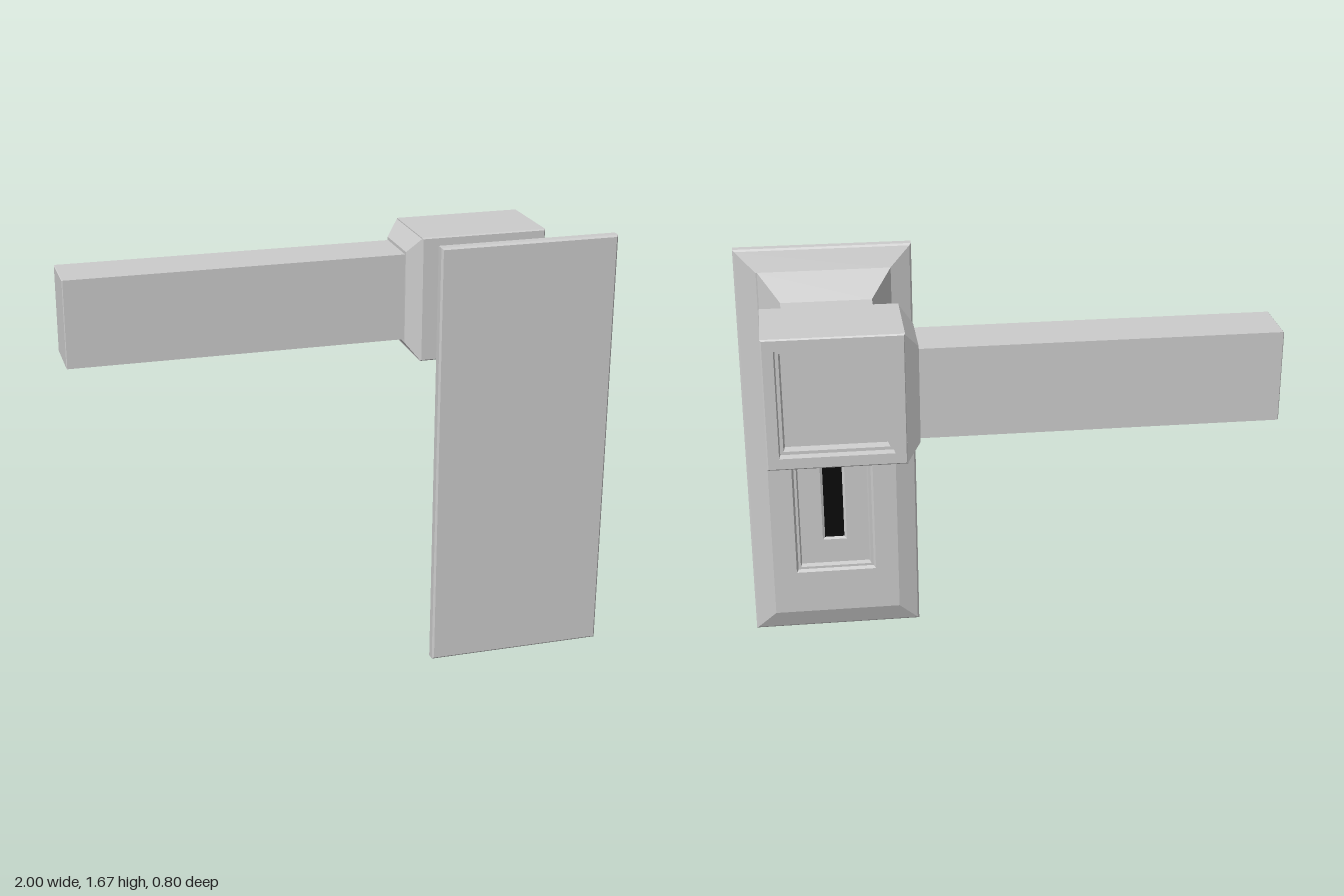
import * as THREE from 'three';

const grey = new THREE.MeshStandardMaterial({ color: 0xcccccc, flatShading: true });
const black = new THREE.MeshStandardMaterial({ color: 0x0a0a0a, flatShading: true });

// Skin a run of rectangles [x0, x1, y0, y1, z], ordered from +z towards -z.
// Shrinking rectangles whose z rises again form recesses.
function loft(name, rings, material = grey, capStart = true, capEnd = true) {
  const positions = [];
  const corners = ([x0, x1, y0, y1, z]) => [[x0, y0, z], [x1, y0, z], [x1, y1, z], [x0, y1, z]];
  const quad = (a, b, c, d) => [a, b, c, a, c, d].forEach((p) => positions.push(...p));
  const loops = rings.map(corners);
  for (let i = 0; i < loops.length - 1; i++) {
    for (let j = 0; j < 4; j++) {
      const k = (j + 1) % 4;
      quad(loops[i][j], loops[i + 1][j], loops[i + 1][k], loops[i][k]);
    }
  }
  if (capStart) quad(...loops[0]);
  if (capEnd) quad(...loops[loops.length - 1].slice().reverse());
  const geometry = new THREE.BufferGeometry();
  geometry.setAttribute('position', new THREE.Float32BufferAttribute(positions, 3));
  geometry.computeVertexNormals();
  const mesh = new THREE.Mesh(geometry, material);
  mesh.name = name;
  return mesh;
}

// Rectangle shrunk by a margin and placed at depth z
const inset = ([x0, x1, y0, y1], m, z) => [x0 + m, x1 - m, y0 + m, y1 - m, z];

export function createModel() {
  const group = new THREE.Group();
  group.name = 'doorHandle';

  // Back plate with bevelled rim and a stepped recess around the keyhole
  const plate = [0.305, 0.995, 0, 1.67];
  const recess = [0.485, 0.815, 0.27, 0.89];
  const keyhole = [0.6, 0.7, 0.4, 0.76];
  group.add(loft('backPlate', [
    inset(plate, 0.007, 0.4), inset(plate, 0, 0.393),
    inset(plate, 0, 0.362), inset(plate, 0.007, 0.355),
    inset(plate, 0.085, 0.325),
    inset(recess, 0, 0.325), inset(recess, 0.008, 0.34),
    inset(recess, 0.018, 0.34), inset(recess, 0.024, 0.36),
    inset(keyhole, 0, 0.36), inset(keyhole, 0.01, 0.366),
  ], grey, true, false));

  // Dark keyhole pocket
  group.add(loft('keyhole', [inset(keyhole, 0.01, 0.366), inset(keyhole, 0.01, 0.39)], black, false, true));

  // Square neck flaring out to the plate
  const neck = [0.472, 0.822, 1.153, 1.503];
  group.add(loft('neck', [
    inset(neck, -0.083, 0.325), inset(neck, 0, 0.2), inset(neck, 0, -0.08),
  ], grey, false, false));

  // Head block with a framed recess in its outer face
  const head = [0.39, 0.9, 1.077, 1.58];
  group.add(loft('head', [
    inset(head, 0.005, -0.07), inset(head, 0, -0.075),
    inset(head, 0, -0.395), inset(head, 0.005, -0.4),
    inset(head, 0.045, -0.4), inset(head, 0.05, -0.375),
    inset(head, 0.062, -0.375), inset(head, 0.068, -0.345),
  ]));

  // Tapered collar and lever, skinned along z and turned to run along x
  const lever = [0.13, 0.352, 1.155, 1.503];
  const collar = loft('collar', [
    [0.072, 0.398, 1.079, 1.578, 0.392], [0.12, 0.358, 1.143, 1.515, 0.34],
  ]);
  const bar = loft('lever', [
    inset(lever, 0, 0.345), inset(lever, 0, -0.997), inset(lever, 0.003, -1),
  ]);
  for (const part of [collar, bar]) {
    part.geometry.rotateY(Math.PI / 2);
    group.add(part);
  }
  return group;
}
